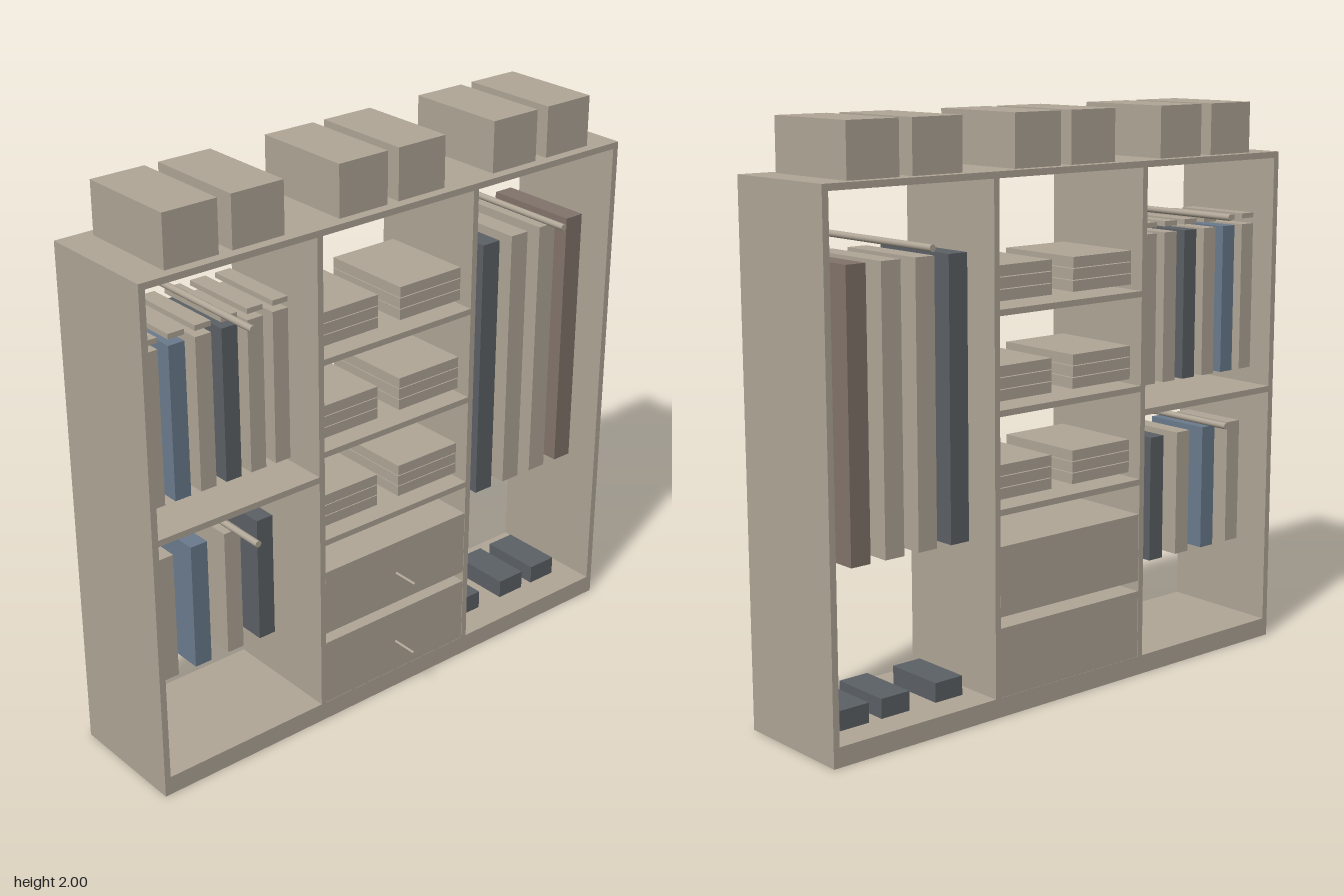
import * as THREE from 'three';

export function createModel() {
  const model = new THREE.Group();
  model.name = 'wardrobe';
  const mat = (name, color) => {
    const m = new THREE.MeshStandardMaterial({ color });
    m.name = name;
    return m;
  };
  const tan = mat('tan', 0xb0a697);
  const charcoal = mat('charcoal', 0x5c6166);
  const blue = mat('blue', 0x6b7b8e);
  const brown = mat('brown', 0x82746b);

  const CZ = -0.004; // centre of the carcass depth
  const HALF = 0.2245; // half of the carcass depth

  // Box given by its x and y limits and its half depth
  const box = (name, x0, x1, y0, y1, halfDepth = HALF, material = tan) => {
    const mesh = new THREE.Mesh(new THREE.BoxGeometry(x1 - x0, y1 - y0, halfDepth * 2), material);
    mesh.position.set((x0 + x1) / 2, (y0 + y1) / 2, CZ);
    mesh.name = name;
    model.add(mesh);
  };
  // Round bar running front to back
  const bar = (name, x, y, r, z0, z1) => {
    const mesh = new THREE.Mesh(new THREE.CylinderGeometry(r, r, z1 - z0, 16), tan);
    mesh.rotation.x = Math.PI / 2;
    mesh.position.set(x, y, (z0 + z1) / 2);
    mesh.name = name;
    model.add(mesh);
  };
  // Evenly spaced hanging garments
  const garments = (name, x, step, width, y0, y1, halfDepth, colours) =>
    colours.forEach((c, i) => {
      const cx = x + i * step;
      box(name, cx - width / 2, cx + width / 2, y0, y1, halfDepth, c);
    });

  // Carcass
  const BASE = 0.068, TOP = 1.817, UNDER = 1.795;
  box('base', -1, 1, 0, BASE);
  box('topPanel', -1, 1, UNDER, TOP);
  for (const s of [-1, 1]) {
    box('sidePanel', s * 0.9885 - 0.0115, s * 0.9885 + 0.0115, BASE, UNDER);
    box('divider', s * 0.329 - 0.011, s * 0.329 + 0.011, BASE, UNDER);
  }
  box('leftBayShelf', -0.977, -0.34, 0.939, 0.961);

  // Middle shelves, each with two stacks of three folded items
  for (const y of [0.715, 1.046, 1.376]) {
    box('shelf', -0.318, 0.318, y - 0.021, y);
    for (const s of [-1, 1]) {
      for (let i = 0; i < 3; i++) {
        const y0 = y + 0.017 + i * 0.04;
        box('foldedItem', s * 0.182 - 0.134, s * 0.182 + 0.134, y0, y0 + 0.037, 0.172);
      }
    }
  }

  // Drawers with peg handles
  for (const [y0, y1, handleY] of [[BASE, 0.309, 0.184], [0.348, 0.589, 0.465]]) {
    box('drawer', -0.317, 0.317, y0, y1, 0.2235);
    bar('drawerHandle', 0, handleY, 0.005, 0.2, 0.316);
  }

  // Hanging rods
  for (const [x, y] of [[-0.66, 1.609], [-0.66, 0.869], [0.658, 1.609]]) {
    bar('hangingRod', x, y, 0.0115, CZ - 0.312, CZ + 0.312);
  }

  // Shirts with hangers, trousers and long coats
  garments('shirt', -0.925, 0.0988, 0.06, 1.025, 1.556, 0.15, [tan, blue, tan, charcoal, tan, tan]);
  garments('hanger', -0.925, 0.0988, 0.06, 1.577, 1.595, 0.15, Array(6).fill(tan));
  garments('trousers', -0.894, 0.1323, 0.064, 0.372, 0.825, 0.13, [tan, blue, tan, charcoal]);
  garments('coat', 0.451, 0.1327, 0.075, 0.618, 1.565, 0.178, [charcoal, tan, tan, brown]);

  // Shoes on the base
  for (const x of [0.452, 0.675, 0.839]) {
    box('shoe', x - 0.057, x + 0.057, BASE, 0.136, 0.115, charcoal);
  }

  // Storage boxes on top
  for (const x of [-0.784, -0.536, -0.122, 0.122, 0.536, 0.784]) {
    box('storageBox', x - 0.099, x + 0.099, TOP, 1.996, 0.187);
  }
  return model;
}
